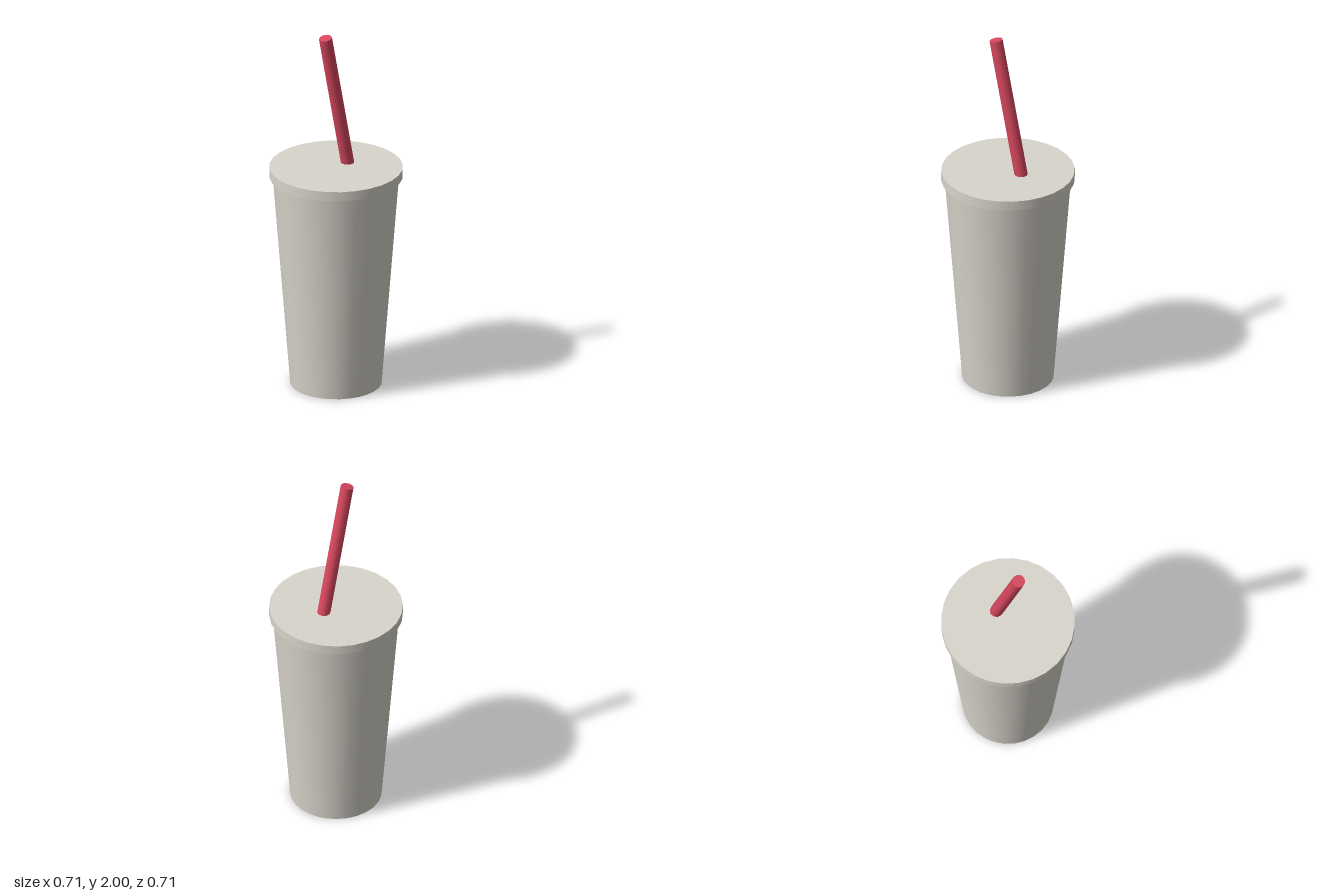
import * as THREE from 'three';

export function createModel() {
  const group = new THREE.Group();
  const paper = new THREE.MeshStandardMaterial({ color: 0xd9d5cc });
  paper.name = 'warm grey paper';
  const red = new THREE.MeshStandardMaterial({ color: 0xd9485f });
  red.name = 'red plastic';

  // Closed round part standing between two heights
  const addRound = (name, rTop, rBottom, y0, y1, material) => {
    const geometry = new THREE.CylinderGeometry(rTop, rBottom, y1 - y0, 28);
    const mesh = new THREE.Mesh(geometry, material);
    mesh.position.y = (y0 + y1) / 2;
    mesh.name = name;
    group.add(mesh);
  };
  addRound('cup', 0.336, 0.243, 0, 1.19, paper);
  addRound('lid', 0.354, 0.354, 1.182, 1.235, paper);

  // Straw leaning to the right, its foot just under the lid
  const top = new THREE.Vector3(-0.077, 1.993, 0);
  const tilt = 0.209;
  const length = 0.84;
  const geometry = new THREE.CylinderGeometry(0.035, 0.035, length, 10);
  geometry.rotateY(Math.PI / 2);
  geometry.translate(0, -length / 2, 0);
  const straw = new THREE.Mesh(geometry, red);
  straw.name = 'straw';
  straw.position.copy(top);
  straw.rotation.z = tilt;
  group.add(straw);

  return group;
}
